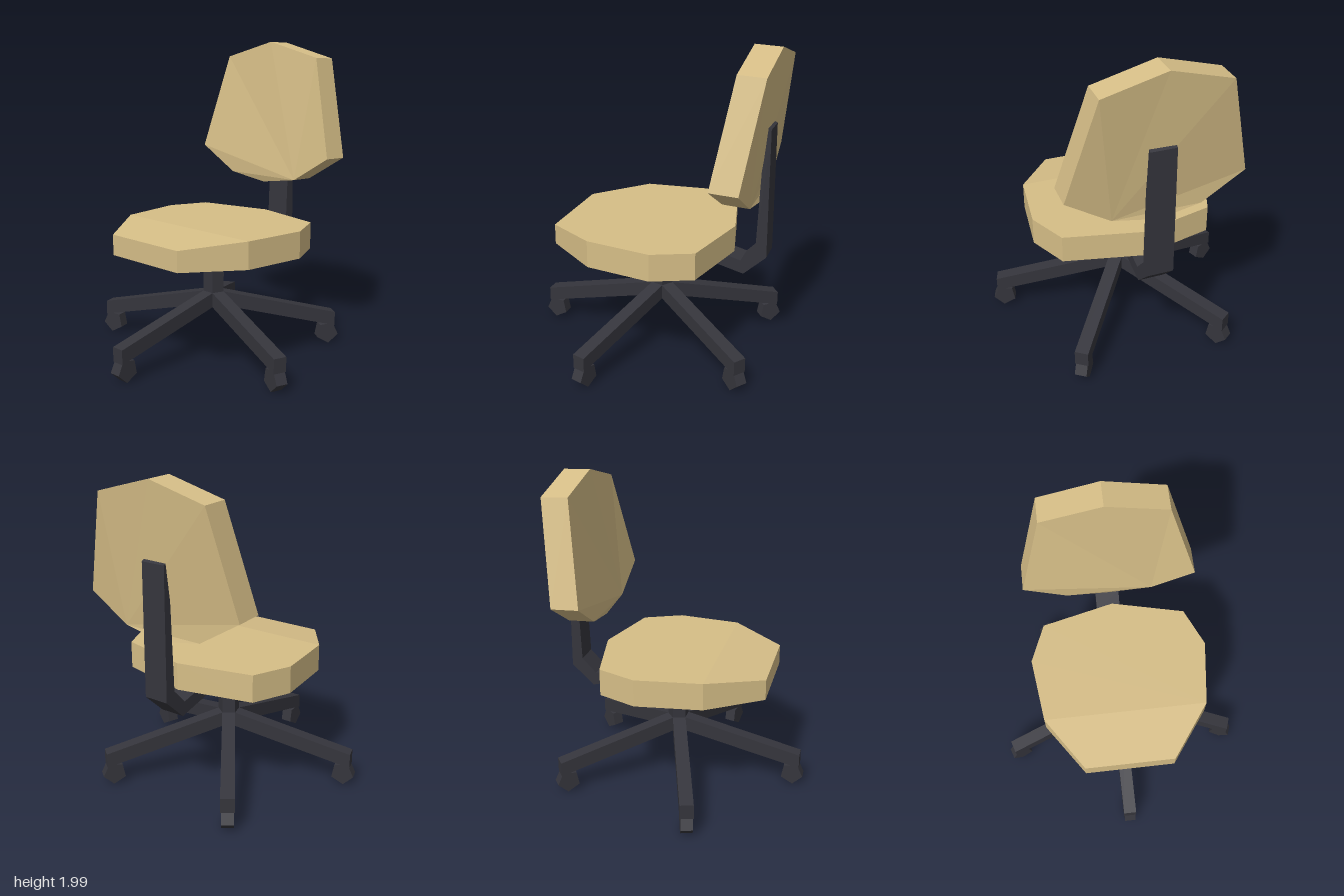
import * as THREE from 'three';

const HUB_Z = -0.06; // centre of the five-star base

// Solid between two matching rings of [x, y, z]; first ring runs counterclockwise seen from outside
function loft(a, b) {
  const n = a.length, pos = [];
  const tri = (...pts) => pts.forEach((p) => pos.push(...p));
  for (let i = 1; i < n - 1; i++) {
    tri(a[0], a[i], a[i + 1]);
    tri(b[0], b[i + 1], b[i]);
  }
  for (let i = 0; i < n; i++) {
    const j = (i + 1) % n;
    tri(a[i], b[i], b[j]);
    tri(a[i], b[j], a[j]);
  }
  const g = new THREE.BufferGeometry();
  g.setAttribute('position', new THREE.Float32BufferAttribute(pos, 3));
  g.computeVertexNormals();
  return g;
}

// Side profile of [z, y] points, extruded to a width centred on x = 0
function sideBar(points, width) {
  const shape = new THREE.Shape(points.map(([z, y]) => new THREE.Vector2(z, y)));
  const g = new THREE.ExtrudeGeometry(shape, { depth: width, bevelEnabled: false });
  return g.translate(0, 0, -width / 2).rotateY(-Math.PI / 2);
}

export function createModel() {
  const model = new THREE.Group();
  const fabric = new THREE.MeshStandardMaterial({ color: 0xd6be87, flatShading: true });
  fabric.name = 'tanFabric';
  const plastic = new THREE.MeshStandardMaterial({ color: 0x35353c, flatShading: true });
  plastic.name = 'darkPlastic';

  const add = (parent, name, geometry, material) => {
    const mesh = new THREE.Mesh(geometry, material);
    mesh.name = name;
    parent.add(mesh);
    return mesh;
  };

  // Seat cushion: top slopes down towards the front edge
  const seat = [
    [0.55, 0.22], [0.6, -0.19], [0.49, -0.435], [0.02, -0.545], [-0.45, -0.435],
    [-0.55, -0.19], [-0.5, 0.22], [-0.27, 0.555], [0.305, 0.555],
  ];
  add(model, 'seat', loft(
    seat.map(([x, z]) => [x, z > 0.5 ? 0.835 : 0.875, z]),
    seat.map(([x, z]) => [x, 0.705, z]),
  ), fabric);

  // Backrest: x, y, front z, back z
  const back = [
    [0.275, 1.11, -0.525, -0.69], [0.545, 1.275, -0.515, -0.688], [0.37, 1.9, -0.608, -0.775],
    [-0.01, 2, -0.608, -0.777], [-0.385, 1.9, -0.608, -0.775], [-0.54, 1.275, -0.515, -0.688],
    [-0.27, 1.11, -0.525, -0.69], [0, 1.067, -0.54, -0.702],
  ];
  add(model, 'backrest', loft(
    back.map(([x, y, f]) => [x, y, f]),
    back.map(([x, y, , b]) => [x, y - 0.006, b]),
  ), fabric);

  // Bent bar joining seat and backrest
  add(model, 'backSupport', sideBar([
    [-0.13, 0.706], [-0.62, 0.588], [-0.76, 0.72], [-0.752, 1.53], [-0.715, 1.55],
    [-0.69, 0.77], [-0.6, 0.675], [-0.45, 0.712],
  ], 0.16), plastic);

  // Five-sided column
  const column = new THREE.CylinderGeometry(0.07, 0.07, 0.4, 5).rotateY(Math.PI);
  add(model, 'column', column, plastic).position.set(0, 0.51, HUB_Z);

  // Five legs, each with a five-sided caster
  const legGeometry = sideBar([
    [0.03, 0.41], [0.815, 0.222], [0.815, 0.13], [0.03, 0.315],
  ], 0.084);
  const wheel = Array.from({ length: 5 }, (_, k) => {
    const t = THREE.MathUtils.degToRad(-11 + 72 * k);
    return [0.768 + 0.074 * Math.cos(t), 0.08 + 0.074 * Math.sin(t)];
  });
  const wheelGeometry = sideBar(wheel, 0.074);
  for (let i = 0; i < 5; i++) {
    const arm = new THREE.Group();
    arm.name = `baseArm${i + 1}`;
    arm.position.z = HUB_Z;
    arm.rotation.y = (i * Math.PI * 2) / 5;
    add(arm, 'leg', legGeometry, plastic);
    add(arm, 'caster', wheelGeometry, plastic);
    model.add(arm);
  }
  return model;
}
